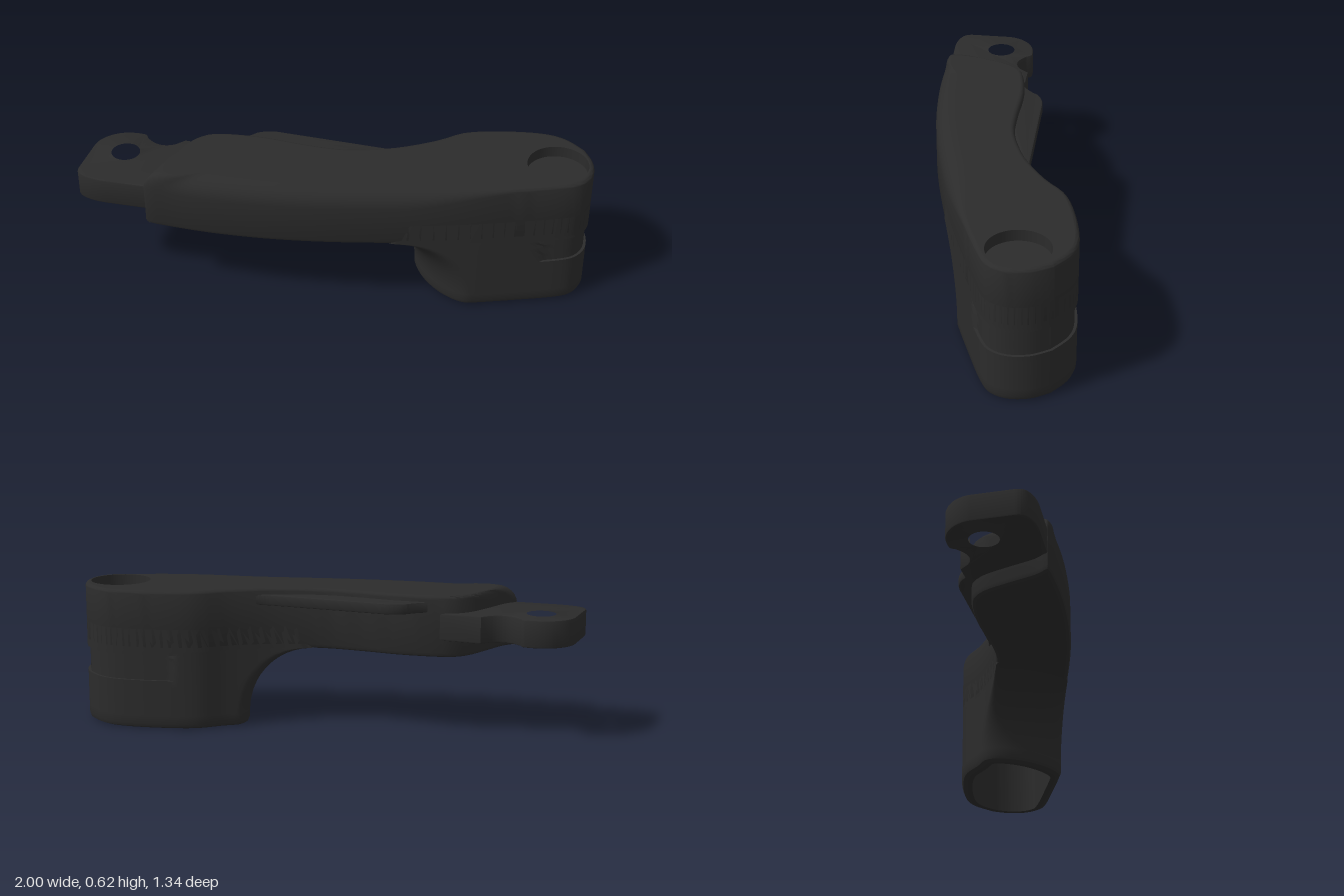
import * as THREE from 'three';
import { toCreasedNormals } from 'three/addons/utils/BufferGeometryUtils.js';

const N = 56; // samples along each side of a ring
const TOP = 0.62, ARM_BASE = 0.35, TIP = -0.785, END = 0.998;
const HOLE = { x: 0.83, z: 0.505, r: 0.132, depth: 0.05 };

// Plan outline as two edges, z as a function of x
function edge(points) {
  const s = new THREE.SplineCurve(points.map(([x, z]) => new THREE.Vector2(x, z))).getPoints(300);
  return (x) => {
    let i = 1;
    while (i < s.length - 1 && s[i].x < x) i++;
    const a = s[i - 1], b = s[i];
    const t = THREE.MathUtils.clamp((x - a.x) / (b.x - a.x || 1), 0, 1);
    return a.y + (b.y - a.y) * t;
  };
}
const frontEdge = edge([[TIP, -0.225], [-0.6, -0.06], [-0.4, 0.09], [-0.2, 0.217], [0, 0.327], [0.2, 0.427],
  [0.4, 0.515], [0.6, 0.592], [0.78, 0.655], [0.86, 0.662], [0.93, 0.625], [0.98, 0.55], [END, 0.46]]);
const backEdge = edge([[TIP, -0.25], [-0.72, -0.26], [-0.6, -0.325], [-0.5, -0.375], [-0.42, -0.385], [-0.36, -0.362],
  [-0.3, -0.325], [-0.2, -0.25], [-0.07, -0.125], [0.05, -0.025], [0.18, 0.04], [0.3, 0.08], [0.46, 0.105],
  [0.6, 0.108], [0.75, 0.17], [0.9, 0.265], [0.97, 0.35], [END, 0.46]]);

// One horizontal ring: starts at xL with a rounded end of radius r, then inset per point
function ring(y, xL, r, inset = () => 0) {
  const pts = [];
  for (let i = 0; i < 2 * N; i++) {
    const front = i <= N;
    const t = front ? i / N : 2 - i / N;
    const x = xL + (END - xL) * (1 - Math.cos(Math.PI * t)) / 2;
    const f = frontEdge(x), b = backEdge(x), mid = (f + b) / 2;
    const k = Math.max(0, 1 - (x - xL) / r);
    pts.push({ x, z: mid + ((front ? f : b) - mid) * Math.sqrt(1 - k * k), front });
  }
  return pts.map((p, i) => {
    const a = pts[(i + 2 * N - 1) % (2 * N)], c = pts[(i + 1) % (2 * N)];
    const tx = c.x - a.x, tz = c.z - a.z, l = Math.hypot(tx, tz) || 1;
    const d = inset(p.x, p.front);
    return new THREE.Vector3(p.x + tz / l * d, typeof y === 'function' ? y(p.x, p.front) : y, p.z - tx / l * d);
  });
}

// Skin over rings listed from top to bottom
function loft(rings) {
  const pos = [], idx = [], n = 2 * N;
  rings.forEach((r) => r.forEach((p) => pos.push(p.x, p.y, p.z)));
  for (let j = 0; j < rings.length - 1; j++) {
    for (let i = 0; i < n; i++) {
      const a = j * n + i, b = j * n + (i + 1) % n;
      idx.push(a, a + n, b + n, a, b + n, b);
    }
  }
  const g = new THREE.BufferGeometry();
  g.setAttribute('position', new THREE.Float32BufferAttribute(pos, 3));
  g.setIndex(idx);
  return toCreasedNormals(g, 0.6);
}

// Flat cap for a ring, facing up or down
function cap(r, up, hole) {
  const s = up ? -1 : 1;
  const shape = new THREE.Shape(r.map((p) => new THREE.Vector2(p.x, s * p.z)));
  if (hole) shape.holes.push(new THREE.Path().absarc(hole.x, s * hole.z, hole.r, 0, Math.PI * 2, true));
  return new THREE.ShapeGeometry(shape, 24).rotateX(s * Math.PI / 2).translate(0, r[0].y, 0);
}

// Plate from a plan shape drawn with y = -z
function plate(shape, y0, y1, bevel) {
  const g = new THREE.ExtrudeGeometry(shape, {
    depth: y1 - y0 - 2 * bevel, bevelThickness: bevel, bevelSize: bevel, bevelOffset: -bevel,
    bevelSegments: 2, curveSegments: 24,
  });
  return toCreasedNormals(g.rotateX(-Math.PI / 2).translate(0, y0 + bevel, 0), 0.6);
}

export function createModel() {
  const group = new THREE.Group();
  const material = new THREE.MeshStandardMaterial({ color: 0x2b2b2b });
  const add = (name, geometry, parent = group) => {
    const m = new THREE.Mesh(geometry, material);
    m.name = name;
    parent.add(m);
    return m;
  };
  const part = (name) => {
    const g = new THREE.Group();
    g.name = name;
    group.add(g);
    return g;
  };
  const smooth = THREE.MathUtils.smoothstep;

  // Arm: broad rounding along the front and tip, tight rounding elsewhere
  const arm = part('arm');
  const S = 0.085;
  const weight = (x, front) => 1 - 0.78 * (front ? smooth(x, 0.1, 0.6) : smooth(x, -0.68, -0.5));
  const armRings = [];
  for (let k = 6; k >= 0; k--) {
    const a = k / 6 * Math.PI / 2, d = S * (1 - Math.cos(a)), drop = S * (1 - Math.sin(a));
    const xL = TIP + d;
    armRings.push(ring((x, f) => TOP - drop * weight(x, f), xL, 0.03 + d,
      (x, f) => d * (f ? weight(x, f) : 0.22) * smooth(x, xL, xL + 0.12)));
  }
  armRings.push(ring(ARM_BASE + 0.02, TIP, 0.03));
  armRings.push(ring(ARM_BASE + 0.006, TIP, 0.03, () => 0.006));
  armRings.push(ring(ARM_BASE, TIP, 0.03, () => 0.018));
  add('armSkin', loft(armRings), arm);
  add('armTop', cap(armRings[0], true, HOLE), arm);
  add('armUnderside', cap(armRings[armRings.length - 1], false), arm);

  // Blind round recess in the top
  const recess = part('pivotRecess');
  const wall = new THREE.CylinderGeometry(HOLE.r, HOLE.r, HOLE.depth, 48, 1, true).scale(-1, 1, 1);
  wall.attributes.normal.array.forEach((v, i, arr) => { if (i % 3 !== 1) arr[i] = -v; });
  add('recessWall', wall, recess).position.set(HOLE.x, TOP - HOLE.depth / 2, HOLE.z);
  add('recessFloor', new THREE.CircleGeometry(HOLE.r, 48).rotateX(-Math.PI / 2), recess)
    .position.set(HOLE.x, TOP - HOLE.depth, HOLE.z);

  // Boss: sweeps down from the arm, with a band groove round its end and an open hollow base
  const boss = part('boss');
  const cut = (y) => 0.02 + 0.295 * Math.sqrt(1 - THREE.MathUtils.clamp((y - 0.05) / 0.3, 0, 1) ** 2);
  const groove = (x) => (x > 0.7 ? 0.012 : 0);
  const R = 0.1;
  const bossRings = [ring(0.45, 0.06, R)];
  for (const y of [0.352, 0.349, 0.345, 0.335]) bossRings.push(ring(y, cut(y), R));
  for (const y of [0.335, 0.32, 0.3, 0.28, 0.25, 0.22]) bossRings.push(ring(y, cut(y), R, groove));
  for (const y of [0.22, 0.19, 0.15, 0.1, 0.06, 0.025]) bossRings.push(ring(y, cut(y), R));
  const x0 = cut(0);
  bossRings.push(ring(0.008, x0, R, () => 0.007), ring(0, x0, R, () => 0.025));
  for (const y of [0, 0.17, 0.335]) bossRings.push(ring(y, x0, R, () => 0.05));
  add('bossSkin', loft(bossRings), boss);
  add('hollowCeiling', cap(bossRings[bossRings.length - 1], false), boss);

  // Thin flange along the back of the arm
  const flange = new THREE.Shape();
  flange.moveTo(0.4, -0.13);
  flange.lineTo(0.36, -0.095);
  flange.quadraticCurveTo(0.31, -0.085, 0.27, -0.05);
  flange.lineTo(-0.1, 0.28);
  flange.quadraticCurveTo(-0.15, 0.33, -0.21, 0.333);
  flange.quadraticCurveTo(-0.28, 0.318, -0.34, 0.34);
  flange.lineTo(-0.3, 0.2);
  flange.lineTo(0, -0.1);
  add('backFlange', plate(flange, 0.545, 0.592, 0.008));

  // Mounting tab with eye and side notch
  const tab = new THREE.Shape();
  tab.moveTo(-0.76, 0.22);
  tab.lineTo(-0.92, 0.35);
  tab.quadraticCurveTo(-0.98, 0.4, -0.997, 0.45);
  tab.quadraticCurveTo(-1.005, 0.48, -0.98, 0.505);
  tab.lineTo(-0.86, 0.635);
  tab.quadraticCurveTo(-0.82, 0.67, -0.765, 0.67);
  tab.quadraticCurveTo(-0.69, 0.67, -0.63, 0.605);
  tab.quadraticCurveTo(-0.625, 0.6, -0.63, 0.575);
  tab.quadraticCurveTo(-0.62, 0.48, -0.54, 0.475);
  tab.lineTo(-0.49, 0.482);
  tab.lineTo(-0.34, 0.345);
  tab.lineTo(-0.3, 0.2);
  tab.lineTo(-0.55, 0.1);
  tab.holes.push(new THREE.Path().absarc(-0.76, 0.515, 0.07, 0, Math.PI * 2, true));
  add('mountingTab', plate(tab, 0.425, 0.545, 0.007));

  return group;
}
